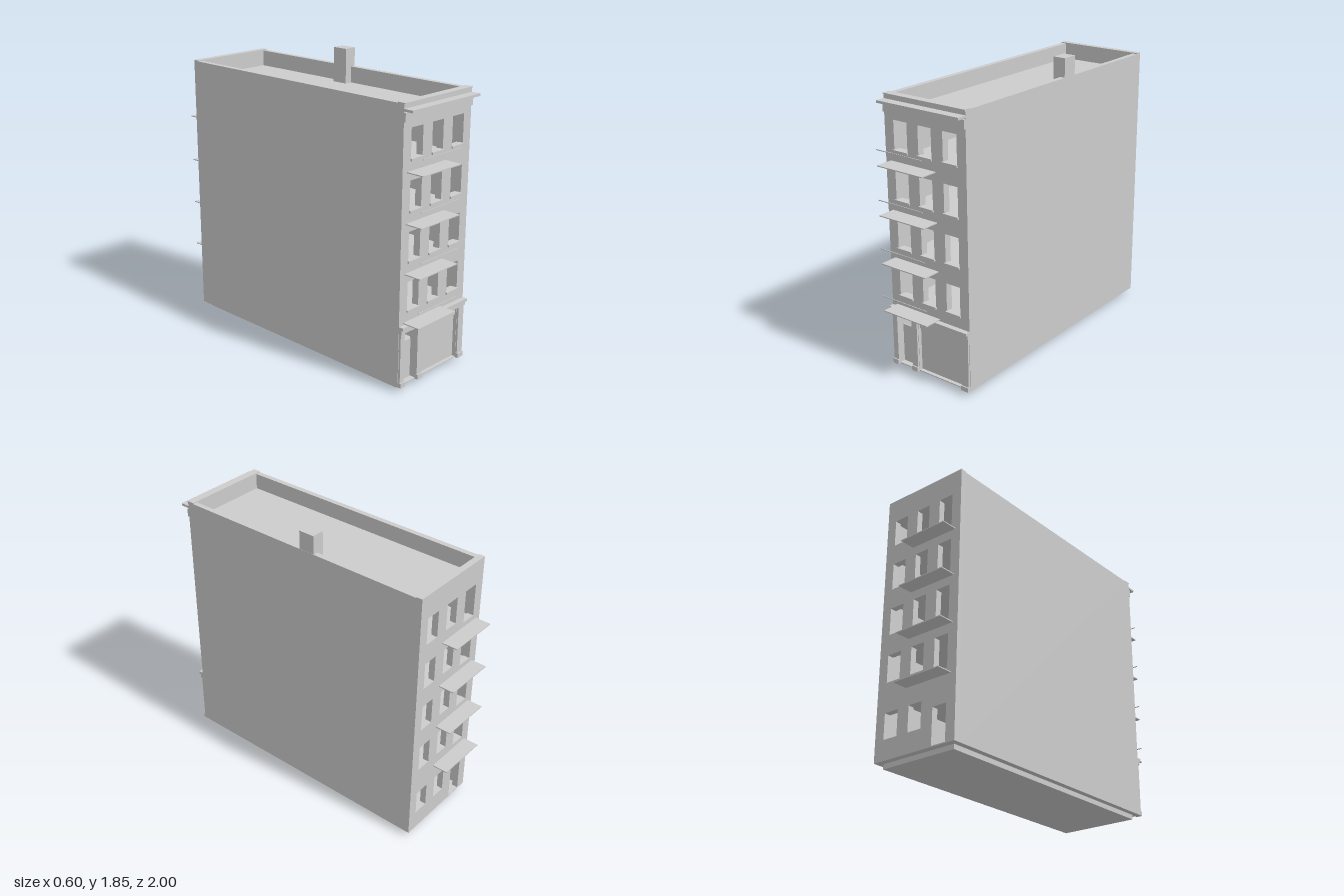
import * as THREE from 'three';

export function createModel() {
  const root = new THREE.Group();
  root.name = 'rowHouse';
  const stone = new THREE.MeshStandardMaterial({ color: 0xcccccc });
  stone.name = 'plain grey';

  // box given by its limits on each axis
  const box = (name, x0, x1, y0, y1, z0, z1) => {
    const m = new THREE.Mesh(new THREE.BoxGeometry(x1 - x0, y1 - y0, z1 - z0), stone);
    m.position.set((x0 + x1) / 2, (y0 + y1) / 2, (z0 + z1) / 2);
    m.name = name;
    root.add(m);
  };
  const outline = (T, x0, x1, y0, y1) => {
    const s = new T();
    s.moveTo(x0, y0); s.lineTo(x1, y0); s.lineTo(x1, y1); s.lineTo(x0, y1);
    s.closePath();
    return s;
  };
  // wall slab with rectangular openings
  const wall = (name, holes, z0, z1) => {
    const s = outline(THREE.Shape, -0.302, 0.3, 0.03, 1.732);
    holes.forEach(h => s.holes.push(outline(THREE.Path, ...h)));
    const m = new THREE.Mesh(
      new THREE.ExtrudeGeometry(s, { depth: z1 - z0, bevelEnabled: false }), stone);
    m.position.z = z0;
    m.name = name;
    root.add(m);
  };

  const columns = [[-0.234, -0.133], [-0.05, 0.048], [0.132, 0.234]];
  const floors = [0.43, 0.735, 1.037, 1.34];

  // hollow body: plinth, side walls, inner floors, partition and sunken roof
  box('plinth', -0.265, 0.265, 0, 0.03, -0.86, 0.845);
  box('rightWall', -0.302, -0.267, 0.03, 1.732, -0.86, 0.84);
  box('leftWall', 0.267, 0.3, 0.03, 1.732, -0.86, 0.84);
  box('groundFloor', -0.267, 0.267, 0.03, 0.036, -0.86, 0.84);
  box('partition', -0.267, 0.267, 0.036, 1.6, -0.015, 0.015);
  box('roof', -0.267, 0.267, 1.6, 1.63, -0.86, 0.84);
  box('frontCoping', -0.302, 0.3, 1.732, 1.738, 0.84, 0.892);
  box('backCoping', -0.302, 0.3, 1.732, 1.738, -0.9, -0.86);
  box('chimney', 0.217, 0.299, 1.63, 1.85, -0.14, -0.035);

  // pierced front and back walls
  const front = [[-0.262, -0.143, 0.036, 0.375], [-0.1, 0.245, 0.036, 0.375]];
  const back = [
    [0.132, 0.234, 0.155, 0.315], [-0.05, 0.048, 0.155, 0.315], [-0.236, -0.135, 0.036, 0.26]];
  floors.forEach(y => columns.forEach(([a, b], i) => {
    front.push([a, b, y + 0.072, y + 0.25]);
    back.push([a, b, y + (i === 0 ? 0.035 : 0.072), y + 0.245]);
  }));
  wall('frontWall', front, 0.84, 0.885);
  wall('backWall', back, -0.9, -0.86);

  // inner floors, sills, balconies and rails
  floors.forEach(y => {
    box('innerFloor', -0.267, 0.267, y - 0.003, y + 0.003, -0.86, 0.84);
    columns.forEach(([a, b]) =>
      box('windowSill', a - 0.005, b + 0.005, y + 0.061, y + 0.074, 0.86, 0.896));
    box('frontBalcony', -0.265, 0.075, y - 0.003, y + 0.003, 0.885, 1);
    box('backBalcony', -0.265, 0.075, y - 0.003, y + 0.003, -1, -0.9);
    box('balconyRail', -0.265, 0.075, y + 0.094, y + 0.099, 0.996, 1);
  });

  // shopfront
  box('door', -0.26, -0.148, 0.03, 0.285, 0.84, 0.848);
  box('shopWindow', -0.1, 0.245, 0.036, 0.315, 0.84, 0.862);
  box('shopSign', -0.1, 0.245, 0.315, 0.375, 0.84, 0.872);
  [[-0.298, -0.262], [-0.143, -0.102], [0.247, 0.297]].forEach(([a, b]) => {
    box('shopPilaster', a, b, 0.06, 0.375, 0.885, 0.898);
    box('pilasterFoot', a - 0.002, b + 0.002, 0.03, 0.06, 0.885, 0.906);
  });
  box('shopFascia', -0.302, 0.3, 0.375, 0.402, 0.885, 0.905);
  box('shopCornice', -0.302, 0.3, 0.402, 0.42, 0.885, 0.918);

  // top cornice
  box('frieze', -0.302, 0.3, 1.63, 1.683, 0.885, 0.897);
  box('cornice', -0.302, 0.3, 1.69, 1.705, 0.885, 0.945);

  return root;
}
